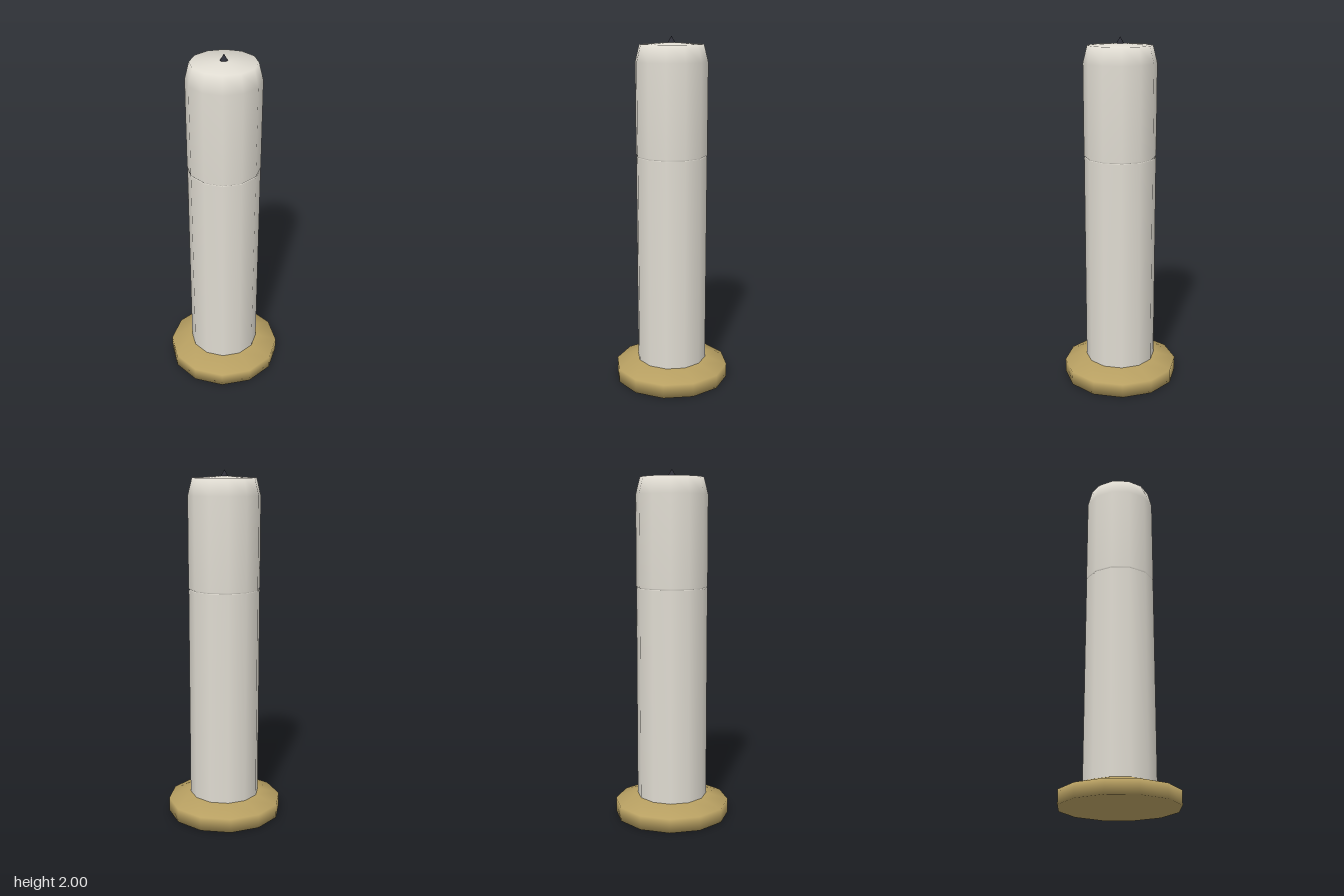
import * as THREE from 'three';

const SIDES = 12;

export function createModel() {
  const group = new THREE.Group();
  const material = (name, color) => {
    const m = new THREE.MeshStandardMaterial({ color });
    m.name = name;
    return m;
  };
  const wax = material('cream', 0xdfdbd1);
  const brass = material('muted gold', 0xb8a062);
  const dark = material('charcoal', 0x33343e);

  // Smooth twelve-sided turning, profile listed from bottom to top as [radius, height]
  const turn = (name, profile, mat) => {
    const points = profile.map(([r, y]) => new THREE.Vector2(r, y));
    const mesh = new THREE.Mesh(new THREE.LatheGeometry(points, SIDES), mat);
    mesh.name = name;
    group.add(mesh);
  };

  // Wide foot with a sloping upper rim
  turn('base', [[0, 0], [0.333, 0], [0.333, 0.08], [0.2, 0.12], [0, 0.12]], brass);

  // Straight lower column
  turn('lowerBody', [[0.203, 0.11], [0.203, 1.335], [0.195, 1.34]], wax);

  // Upper section: undercut seam, straight wall, tapered shoulder, shallow cone top
  turn('upperBody', [[0.195, 1.335], [0.204, 1.345], [0.204, 1.86], [0.18, 1.955], [0, 1.966]], wax);

  // Small pointed tip
  turn('tip', [[0, 1.962], [0.021, 1.964], [0, 2]], dark);

  return group;
}
